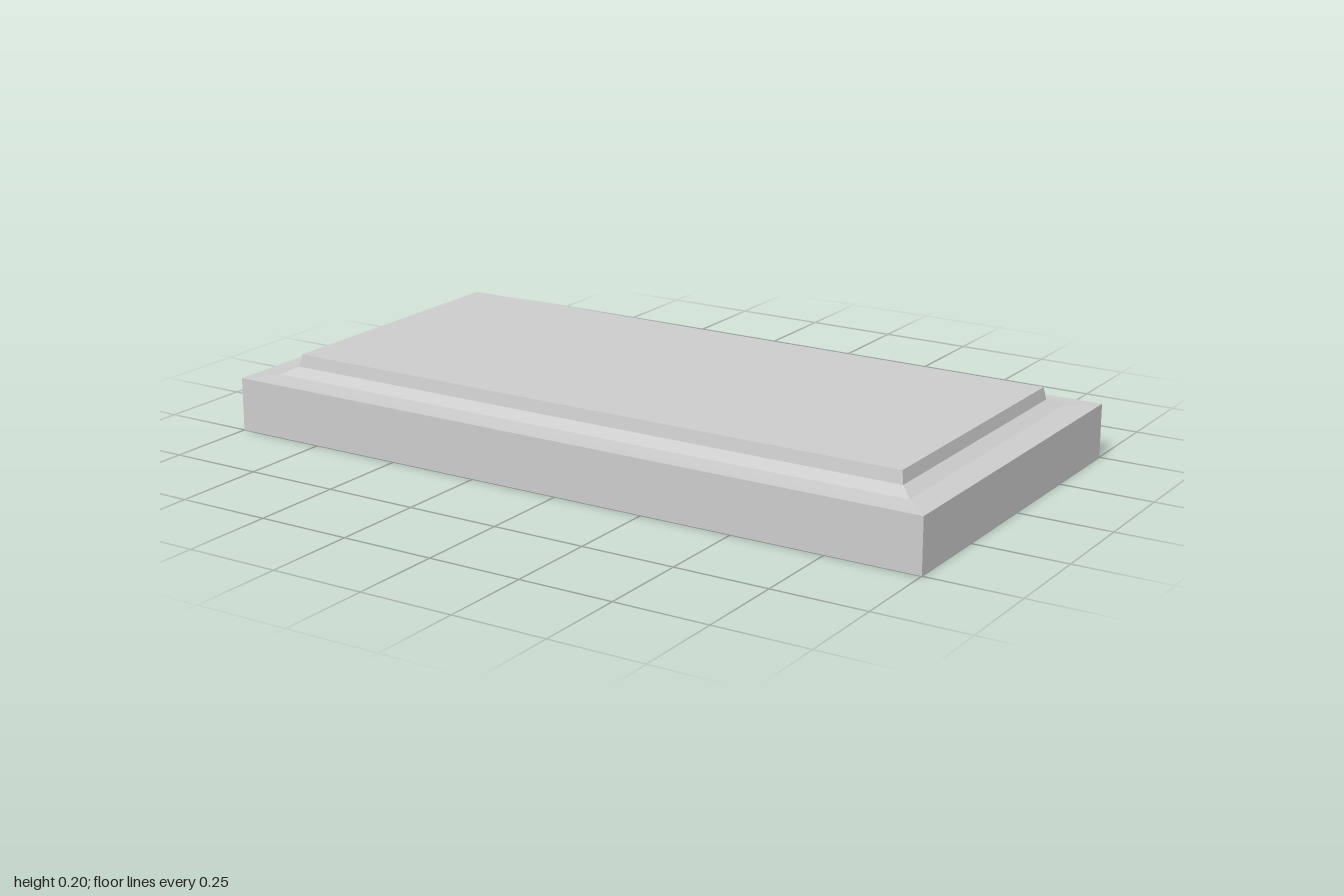
import * as THREE from 'three';

const material = new THREE.MeshStandardMaterial({ color: 0xcccccc, flatShading: true });

// Rectangular corners at a given inset from the outer edge, counterclockwise from above
function ring([inset, y]) {
  const x = 1 - inset, z = 0.5 - inset;
  return [[-x, y, z], [x, y, z], [x, y, -z], [-x, y, -z]];
}

// Mitred surface sweeping an [inset, height] profile around the rectangle
function mitred(name, profile, { bottom = false, top = false } = {}) {
  const rings = profile.map(ring);
  const points = [];
  const quad = (a, b, c, d) => points.push(...a, ...b, ...c, ...a, ...c, ...d);
  for (let i = 0; i < rings.length - 1; i++) {
    const lo = rings[i], hi = rings[i + 1];
    for (let k = 0; k < 4; k++) {
      const n = (k + 1) % 4;
      quad(lo[k], lo[n], hi[n], hi[k]);
    }
  }
  if (bottom) quad(...[...rings[0]].reverse());
  if (top) quad(...rings[rings.length - 1]);
  const geometry = new THREE.BufferGeometry();
  geometry.setAttribute('position', new THREE.Float32BufferAttribute(points, 3));
  geometry.computeVertexNormals();
  const mesh = new THREE.Mesh(geometry, material);
  mesh.name = name;
  return mesh;
}

export function createModel() {
  const group = new THREE.Group();
  group.name = 'steppedSlab';

  // Straight-sided base block
  group.add(mitred('baseBlock', [[0, 0], [0, 0.143]], { bottom: true }));
  // Almost flat border rising into a sloped moulding
  group.add(mitred('borderMoulding', [[0, 0.143], [0.03, 0.144], [0.072, 0.147], [0.107, 0.165]]));
  // Raised panel with slightly tapered sides
  group.add(mitred('raisedPanel', [[0.107, 0.165], [0.113, 0.198]], { top: true }));

  return group;
}
